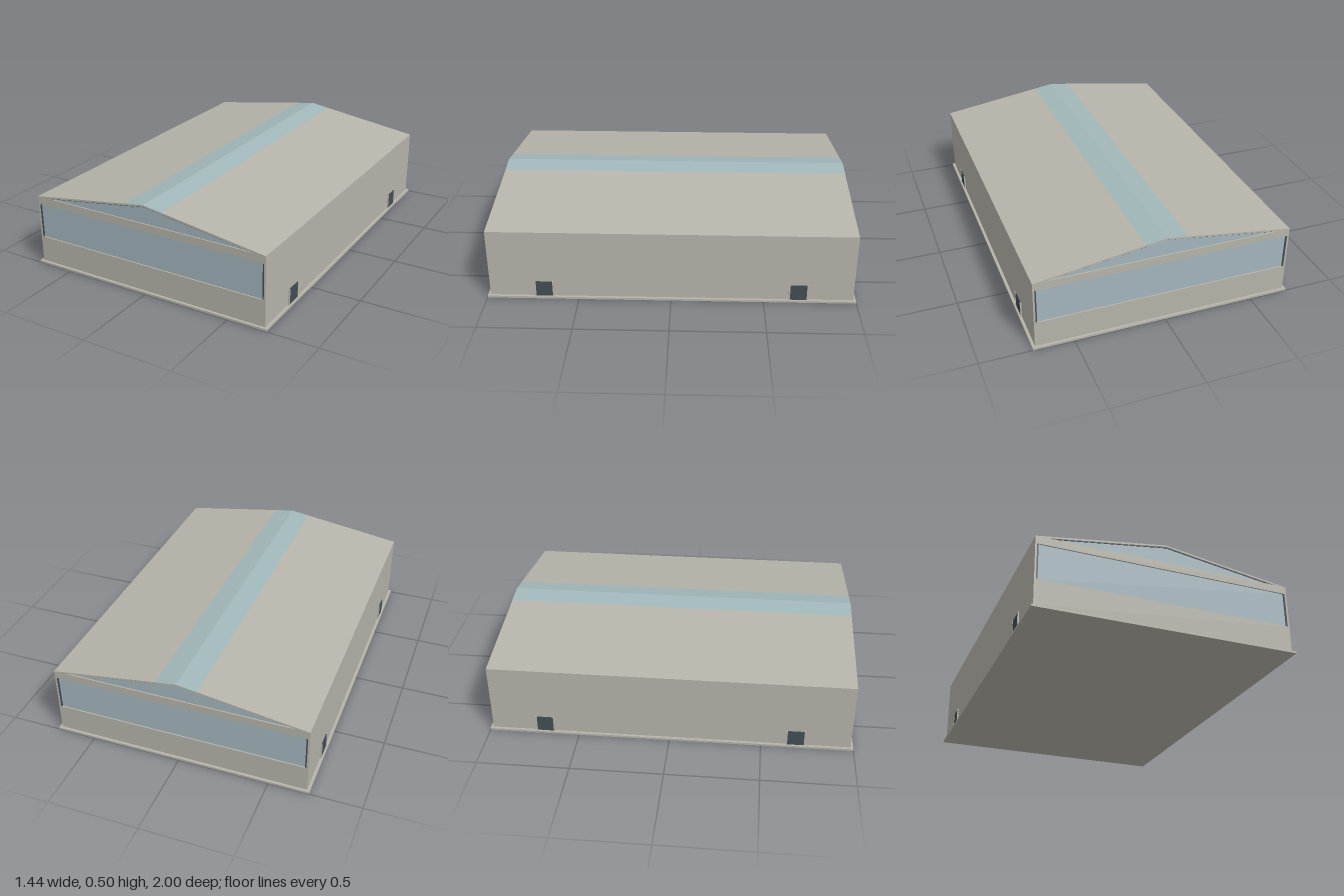
import * as THREE from 'three';

const W = 0.705, D = 0.985, EAVE = 0.4, RIDGE = 0.505, SKY = 0.115, T = 0.01;

export function createModel() {
  const hall = new THREE.Group();
  hall.name = 'hall';

  const mat = (name, color) => {
    const m = new THREE.MeshStandardMaterial({ color });
    m.name = name;
    return m;
  };
  const cladding = mat('cladding', 0xb6b4aa);
  const glass = mat('glass', 0xa4b6bd);
  const skylightBlue = mat('skylight blue', 0xa1b7b9);
  const dark = mat('dark metal', 0x434e55);

  const add = (name, geometry, material, parent = hall) => {
    const mesh = new THREE.Mesh(geometry, material);
    mesh.name = name;
    parent.add(mesh);
    return mesh;
  };
  // Box given by its lower and upper corner
  const box = (name, [x0, y0, z0], [x1, y1, z1], material, parent) => {
    const mesh = add(name, new THREE.BoxGeometry(x1 - x0, y1 - y0, z1 - z0), material, parent);
    mesh.position.set((x0 + x1) / 2, (y0 + y1) / 2, (z0 + z1) / 2);
    return mesh;
  };
  // Outline in x and y, extruded along z
  const prism = (name, points, z0, z1, material, parent) => {
    const shape = new THREE.Shape(points.map(([x, y]) => new THREE.Vector2(x, y)));
    const geometry = new THREE.ExtrudeGeometry(shape, { depth: z1 - z0, bevelEnabled: false });
    geometry.translate(0, 0, z0);
    return add(name, geometry, material, parent);
  };

  // Ground slab and plinth
  box('slab', [-0.72, 0, -1], [0.72, 0.012, 1], cladding);
  box('plinth', [-W, 0.012, -D], [W, 0.02, D], cladding);

  // Roof: two sloping panels and a skylight band folded over the ridge
  const roofY = (x) => RIDGE - (RIDGE - EAVE) * Math.abs(x) / W;
  for (const s of [-1, 1]) {
    prism(s > 0 ? 'leftRoof' : 'rightRoof', [
      [s * SKY, roofY(SKY)], [s * W, EAVE], [s * W, EAVE - T], [s * SKY, roofY(SKY) - T],
    ], -D, D, cladding);
  }
  prism('skylight', [
    [-SKY, roofY(SKY)], [0, RIDGE], [SKY, roofY(SKY)],
    [SKY, roofY(SKY) - T], [0, RIDGE - T], [-SKY, roofY(SKY) - T],
  ], -D, D, skylightBlue);
  // Cladding trim along the gable edges of the skylight
  for (const s of [-1, 1]) {
    prism('ridgeTrim', [
      [-SKY, roofY(SKY) - 0.001], [0, RIDGE - 0.001], [SKY, roofY(SKY) - 0.001],
      [SKY, roofY(SKY) - T], [0, RIDGE - T], [-SKY, roofY(SKY) - T],
    ], s * D - 0.001, s * D + 0.001, cladding);
  }

  // Long walls with two doors each
  for (const s of [1, -1]) {
    const side = new THREE.Group();
    side.name = s > 0 ? 'leftSide' : 'rightSide';
    if (s < 0) side.rotation.y = Math.PI;
    hall.add(side);
    box('sideWall', [W - 0.01, 0.02, -D], [W, EAVE - 0.002, D], cladding, side);
    for (const z of [-0.688, 0.688]) {
      box('doorLeaf', [W, 0.012, z - 0.045], [W + 0.005, 0.1, z + 0.045], dark, side);
      for (const e of [-1, 1]) {
        const c = z + e * 0.049;
        box('doorJamb', [W, 0.012, c - 0.004], [W + 0.007, 0.102, c + 0.004], cladding, side);
      }
    }
  }

  // Glazed end walls
  for (const s of [1, -1]) {
    const end = new THREE.Group();
    end.name = s > 0 ? 'frontEnd' : 'backEnd';
    if (s < 0) end.rotation.y = Math.PI;
    hall.add(end);
    const w = W - 0.01;
    box('lowerWall', [-w, 0.02, D - 0.015], [w, 0.16, D], cladding, end);
    box('lintel', [-w, 0.357, D - 0.015], [w, EAVE, D], cladding, end);
    box('window', [-w, 0.16, D - 0.015], [w, 0.357, D - 0.007], glass, end);
    for (const e of [-1, 1]) {
      box('windowPost', [e * 0.691 - 0.004, 0.16, D - 0.007], [e * 0.691 + 0.004, 0.357, D - 0.002], dark, end);
    }
    // Gable glazing with a thin dark line under the roof
    const under = T + 0.0005;
    prism('gableGlass', [[-0.63, EAVE], [0.63, EAVE], [0, RIDGE - under]], D - 0.015, D - 0.007, glass, end);
    for (const e of [-1, 1]) {
      prism('gableFrame', [
        [0, RIDGE - T], [e * 0.637, EAVE], [e * 0.615, EAVE], [0, RIDGE - T - 0.004],
      ], D - 0.008, D - 0.004, dark, end);
    }
  }

  return hall;
}
